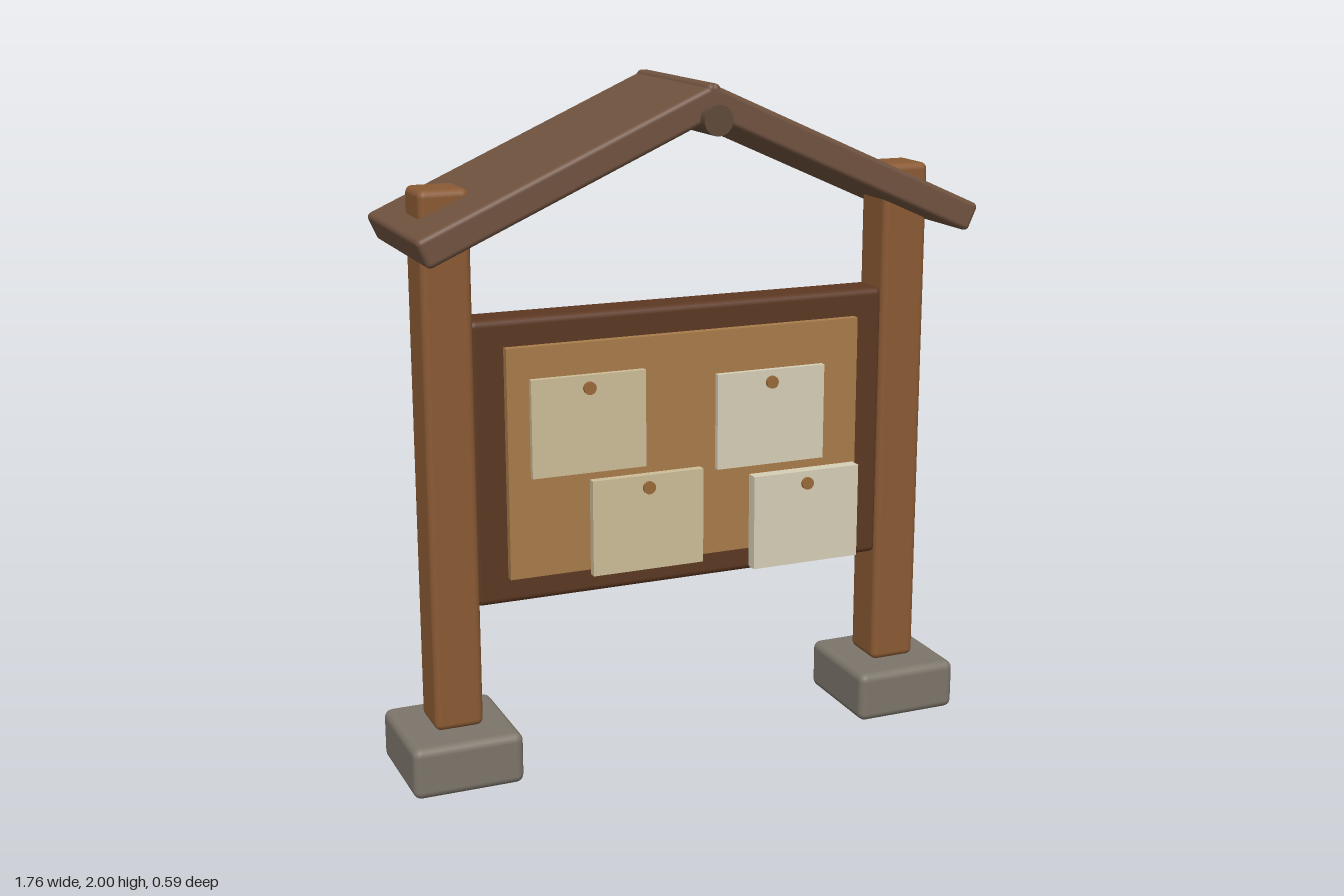
import * as THREE from 'three';
import { RoundedBoxGeometry } from 'three/addons/geometries/RoundedBoxGeometry.js';

const paint = (color) => new THREE.MeshStandardMaterial({ color });
const stone = paint(0x7c756a), postWood = paint(0x8a5a34), frameWood = paint(0x5c3822);
const roofWood = paint(0x70523f), ridgeWood = paint(0x5f4a3a), cork = paint(0xa87c4a), pinWood = paint(0x9a6a3a);
const paperTan = paint(0xcdbd98), paperPale = paint(0xd6ceb6);

export function createModel() {
  const model = new THREE.Group();
  model.name = 'noticeBoard';

  function add(name, geometry, material, x, y, z) {
    const mesh = new THREE.Mesh(geometry, material);
    mesh.name = name;
    mesh.position.set(x, y, z);
    model.add(mesh);
    return mesh;
  }
  const rounded = (w, h, d, r) => new RoundedBoxGeometry(w, h, d, 3, r);

  // Footings, posts and roof slabs, mirrored left and right
  const pitch = THREE.MathUtils.degToRad(24);
  const slabLength = 0.945, slabThickness = 0.085;
  for (const side of [1, -1]) {
    const label = side > 0 ? 'left' : 'right';
    add(label + 'Footing', rounded(0.33, 0.155, 0.345, 0.025), stone, side * 0.715, 0.0815, 0);
    add(label + 'Post', rounded(0.145, 1.57, 0.15, 0.02), postWood, side * 0.713, 0.947, 0);

    // The slab starts just past the ridge so the two halves meet
    const along = slabLength / 2 - 0.015, down = slabThickness / 2;
    const x = along * Math.cos(pitch) - down * Math.sin(pitch);
    const y = 2.005 - along * Math.sin(pitch) - down * Math.cos(pitch);
    const slab = add(label + 'RoofSlab', rounded(slabLength, slabThickness, 0.53, 0.015), roofWood, side * x, y, 0);
    slab.rotation.z = -side * pitch;
  }

  // Ridge pole under the roof peak
  const ridge = add('ridgePole', new THREE.CylinderGeometry(0.043, 0.043, 0.59, 24), ridgeWood, 0, 1.91, 0);
  ridge.rotation.x = Math.PI / 2;

  // Backing board and cork panel
  add('backingBoard', rounded(1.3, 0.84, 0.12, 0.02), frameWood, 0, 0.94, 0);
  add('corkPanel', new THREE.BoxGeometry(1.105, 0.68, 0.035), cork, 0, 0.94, 0.0675);

  // Pinned notices: centre x, centre y, back z, front z, material
  const notices = [
    [-0.315, 1.045, 0.09, 0.108, paperTan],
    [0.258, 1.008, 0.09, 0.108, paperPale],
    [-0.135, 0.73, 0.085, 0.11, paperTan],
    [0.372, 0.688, 0.085, 0.124, paperPale],
  ];
  notices.forEach(([x, y, back, front, material], i) => {
    add('notice' + (i + 1), new THREE.BoxGeometry(0.347, 0.288, front - back), material, x, y, (back + front) / 2);
    const pin = add('pin' + (i + 1), new THREE.CylinderGeometry(0.019, 0.019, 0.04, 16), pinWood, x, y + 0.107, front - 0.01);
    pin.rotation.x = Math.PI / 2;
  });

  return model;
}
